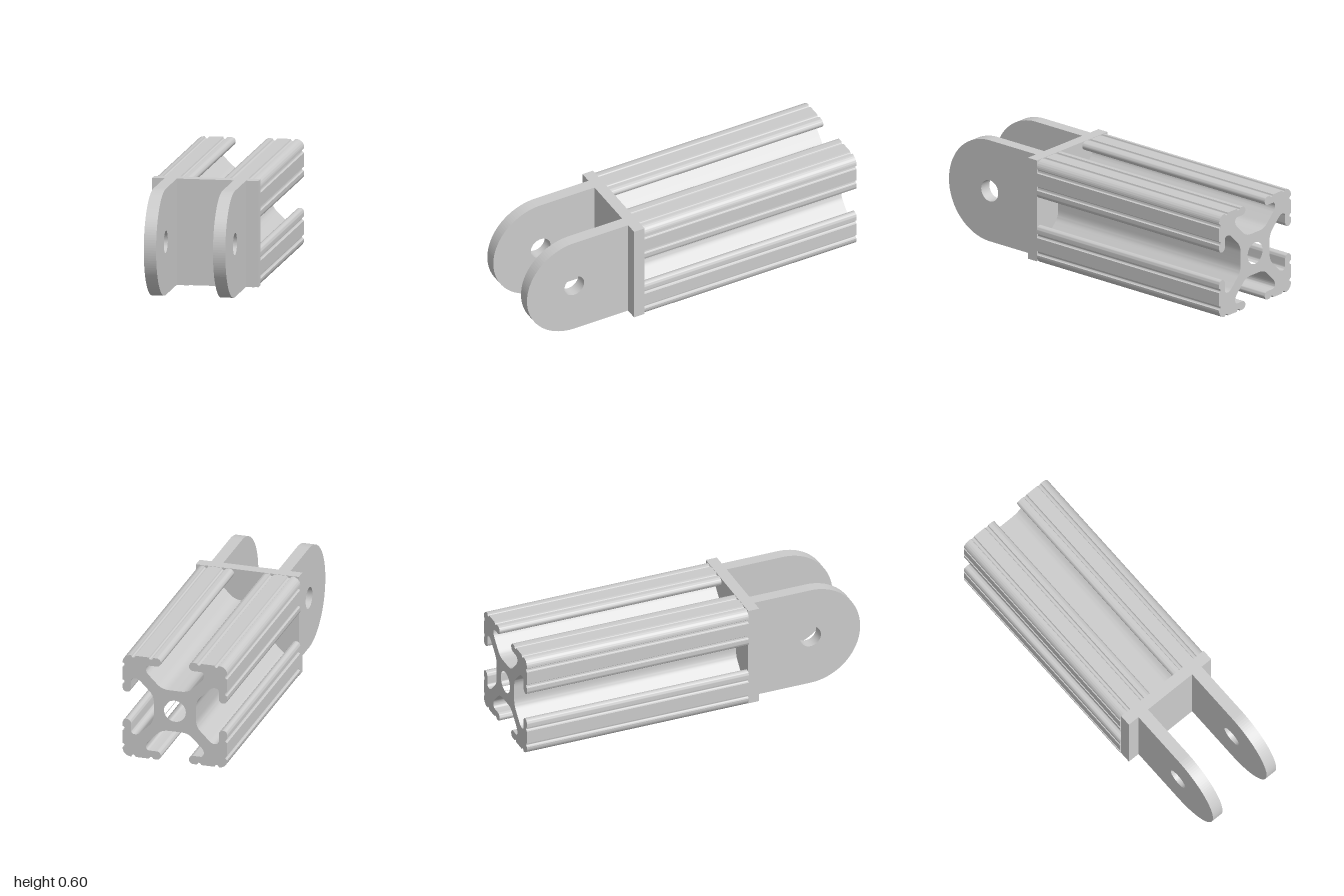
import * as THREE from 'three';
import { toCreasedNormals } from 'three/addons/utils/BufferGeometryUtils.js';

const material = new THREE.MeshStandardMaterial({ color: 0xcccccc });
const CY = 0.3; // height of the rail axis

function addMesh(group, name, geometry) {
  const mesh = new THREE.Mesh(geometry, material);
  mesh.name = name;
  group.add(mesh);
}

// One eighth of the slotted section, from the slot floor to the outer corner
function eighthOutline() {
  const H = 0.298, groove = 0.012, tip = 0.024, corner = 0.045;
  const path = new THREE.Path();
  path.moveTo(0.035, 0.12);
  path.quadraticCurveTo(0.075, 0.12, 0.1, 0.145); // hub fillet
  path.lineTo(0.148, 0.193); // diagonal web
  path.quadraticCurveTo(0.165, 0.21, 0.165, 0.226);
  path.quadraticCurveTo(0.165, H - 2 * tip, 0.145, H - 2 * tip); // undercut
  path.lineTo(0.08 + tip, H - 2 * tip);
  path.absarc(0.08 + tip, H - tip, tip, -Math.PI / 2, -Math.PI * 1.5, true); // lip end
  for (const x of [0.137, 0.237]) { // grooves in the outer face
    path.lineTo(x - groove, H);
    path.absarc(x, H, groove, Math.PI, Math.PI * 2, false);
  }
  path.lineTo(H - corner, H);
  path.absarc(H - corner, H - corner, corner, Math.PI / 2, Math.PI / 4, true);
  // drop coincident points
  return path.getPoints(8).filter((p, i, all) => i === 0 || p.distanceTo(all[i - 1]) > 1e-5);
}

function railGeometry() {
  const eighth = eighthOutline();
  const mirrored = eighth.slice(0, -1).reverse().map(p => new THREE.Vector2(p.y, p.x));
  let quarter = [...eighth, ...mirrored];
  const outline = [];
  for (let i = 0; i < 4; i++) {
    outline.push(...quarter);
    quarter = quarter.map(p => new THREE.Vector2(p.y, -p.x));
  }
  const shape = new THREE.Shape(outline);
  shape.holes.push(new THREE.Path().absarc(0, 0, 0.062, 0, Math.PI * 2, true));
  const geometry = new THREE.ExtrudeGeometry(shape, { depth: 1.31, bevelEnabled: false, curveSegments: 32 });
  geometry.translate(0, CY, -1);
  return toCreasedNormals(geometry, 0.6);
}

// Round-ended lug drawn in the z-y plane and extruded across x
function lugGeometry(xCenter) {
  const bottom = 0.015, top = 0.6, width = 0.068;
  const r = (top - bottom) / 2, cy = (top + bottom) / 2, cz = 1 - r;
  const shape = new THREE.Shape();
  shape.moveTo(0.37, bottom);
  shape.lineTo(cz, bottom);
  shape.absarc(cz, cy, r, -Math.PI / 2, Math.PI / 2, false);
  shape.lineTo(0.37, top);
  shape.closePath();
  shape.holes.push(new THREE.Path().absarc(cz, cy, 0.061, 0, Math.PI * 2, true));
  const geometry = new THREE.ExtrudeGeometry(shape, { depth: width, bevelEnabled: false, curveSegments: 32 });
  geometry.rotateY(-Math.PI / 2);
  geometry.translate(xCenter + width / 2, 0, 0);
  return geometry;
}

export function createModel() {
  const group = new THREE.Group();
  group.name = 'railWithClevis';

  addMesh(group, 'slottedRail', railGeometry());

  // End plate between the rail and the lugs
  const plate = new THREE.BoxGeometry(0.586, 0.585, 0.065);
  plate.translate(0.004, 0.3075, 0.3425);
  addMesh(group, 'endPlate', plate);

  addMesh(group, 'rightLug', lugGeometry(-0.187));
  addMesh(group, 'leftLug', lugGeometry(0.195));
  return group;
}
